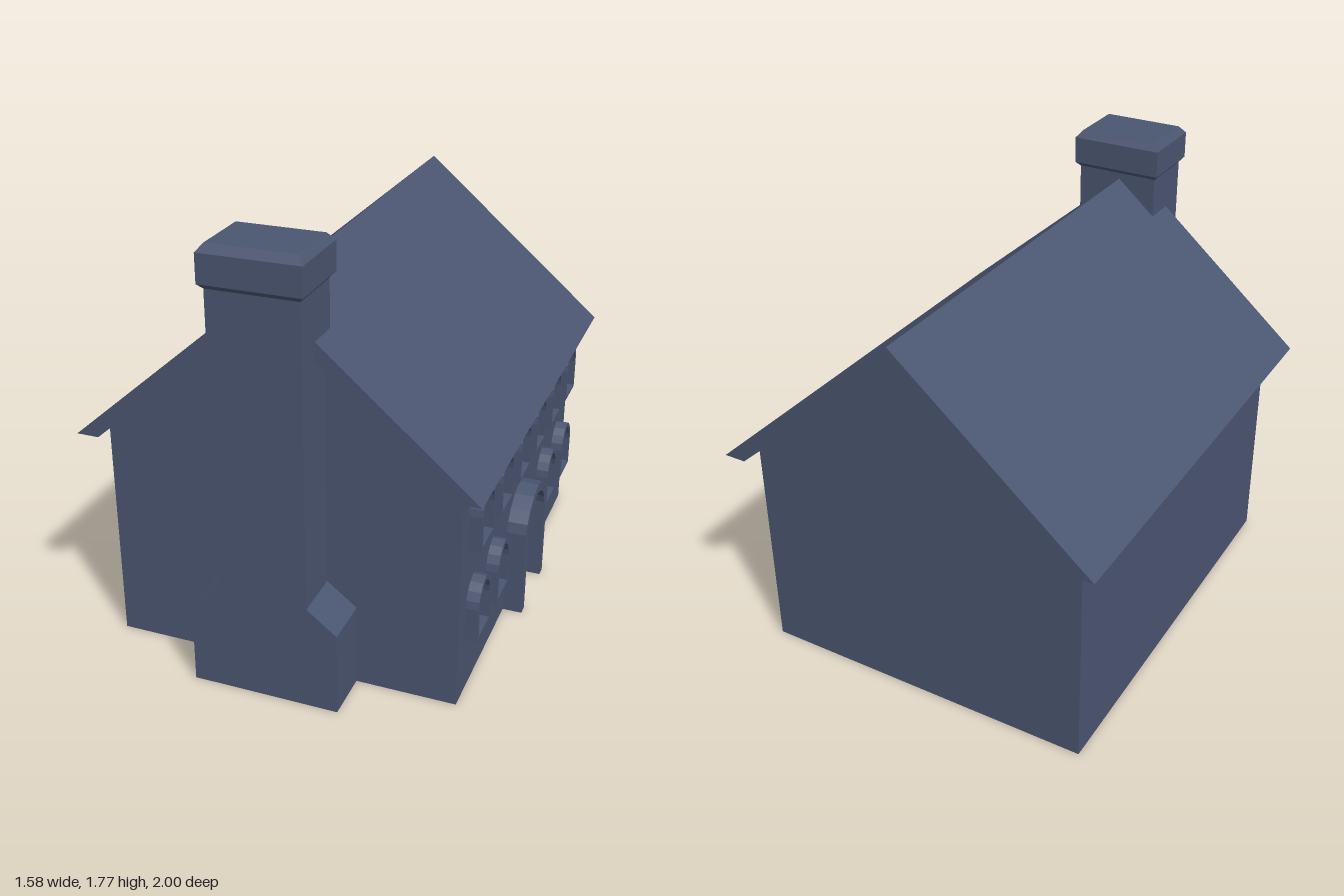
import * as THREE from 'three';

const stone = new THREE.MeshStandardMaterial({ color: 0x4a5570, flatShading: true });
const dark = new THREE.MeshStandardMaterial({ color: 0x050505, flatShading: true });

function polygon(points) {
  return new THREE.Shape(points.map(([x, y]) => new THREE.Vector2(x, y)));
}

// Extrude a front profile from z0 to z1
function slab(name, points, z0, z1) {
  const geo = new THREE.ExtrudeGeometry(polygon(points), { depth: z1 - z0, bevelEnabled: false });
  geo.translate(0, 0, z0);
  const mesh = new THREE.Mesh(geo, stone);
  mesh.name = name;
  return mesh;
}

// Box whose bottom and top rectangles differ in size
function taperedBox(name, y0, y1, [w0, d0], [w1, d1]) {
  const geo = new THREE.BoxGeometry(1, y1 - y0, 1);
  const p = geo.attributes.position;
  for (let i = 0; i < p.count; i++) {
    const top = p.getY(i) > 0;
    p.setX(i, p.getX(i) * (top ? w1 : w0));
    p.setZ(i, p.getZ(i) * (top ? d1 : d0));
  }
  geo.computeVertexNormals();
  const mesh = new THREE.Mesh(geo, stone);
  mesh.position.y = (y0 + y1) / 2;
  mesh.name = name;
  return mesh;
}

// Pointed arch outline of half-width w
function archPoints(w, bottom, spring, top) {
  const rise = top - spring;
  const half = [[1, 0], [0.93, 0.3], [0.72, 0.62], [0.4, 0.86]];
  const right = half.map(([x, y]) => [w * x, spring + rise * y]);
  const left = right.map(([x, y]) => [-x, y]).reverse();
  return [[-w, bottom], [w, bottom], ...right, [0, top], ...left];
}

// Raised arched surround with a dark pane, facing +x
function archOpening(name, z, depth, outer, inner) {
  const group = new THREE.Group();
  group.name = name;
  let outline = archPoints(...outer);
  const opening = archPoints(...inner);
  const isDoor = inner[1] === outer[1];
  // A door surround is open at the floor, so its outline runs around both arches
  if (isDoor) outline = [...outline.slice(1), outline[0], opening[0], ...opening.slice(2).reverse(), opening[1]];
  const shape = polygon(outline);
  if (!isDoor) shape.holes.push(polygon(opening));
  const surround = new THREE.Mesh(new THREE.ExtrudeGeometry(shape, { depth, bevelEnabled: false }), stone);
  surround.name = name + 'Surround';
  const pane = new THREE.Mesh(new THREE.ShapeGeometry(polygon(opening)), dark);
  pane.position.z = 0.004;
  pane.name = name + 'Pane';
  group.add(surround, pane);
  group.rotation.y = Math.PI / 2;
  group.position.set(0.7, 0, z);
  return group;
}

export function createModel() {
  const model = new THREE.Group();
  model.name = 'house';

  // Gabled walls and overhanging roof
  model.add(slab('walls', [[-0.7, 0], [0.7, 0], [0.7, 0.905], [0, 1.51], [-0.7, 0.905]], -0.91, 0.78));
  model.add(slab('roof', [[0.7, 0.905], [0.79, 0.905], [0, 1.585], [-0.79, 0.905], [-0.7, 0.905], [0, 1.508]], -1, 0.865));

  // Chimney with a wide, sloped-shoulder base and a chamfered cap
  const chimney = new THREE.Group();
  chimney.name = 'chimney';
  const side = [[0.292, 0], [0.292, 0.335], [0.175, 0.425], [0.175, 1.615]];
  chimney.add(slab('chimneyStack', [...side, ...side.map(([x, y]) => [-x, y]).reverse()], -0.125, 0.125));
  const neck = [0.35, 0.25], full = [0.385, 0.29], lid = [0.335, 0.24];
  chimney.add(taperedBox('capUnderside', 1.61, 1.63, neck, full));
  chimney.add(taperedBox('capBody', 1.63, 1.74, full, full));
  chimney.add(taperedBox('capTop', 1.74, 1.77, full, lid));
  chimney.position.set(0.011, 0, 0.855);
  model.add(chimney);

  // Two rows of windows; the door takes the middle of the lower row
  const addWindow = (z, y) => model.add(archOpening('window', z, 0.05,
    [0.087, y, y + 0.14, y + 0.24], [0.07, y + 0.013, y + 0.13, y + 0.22]));
  for (const z of [0.61, 0.34, 0.065, -0.19, -0.465, -0.74]) addWindow(z, 0.627);
  for (const z of [0.61, 0.34, -0.465, -0.74]) addWindow(z, 0.237);
  model.add(archOpening('door', -0.065, 0.08, [0.178, 0, 0.37, 0.515], [0.135, 0, 0.36, 0.475]));

  return model;
}
